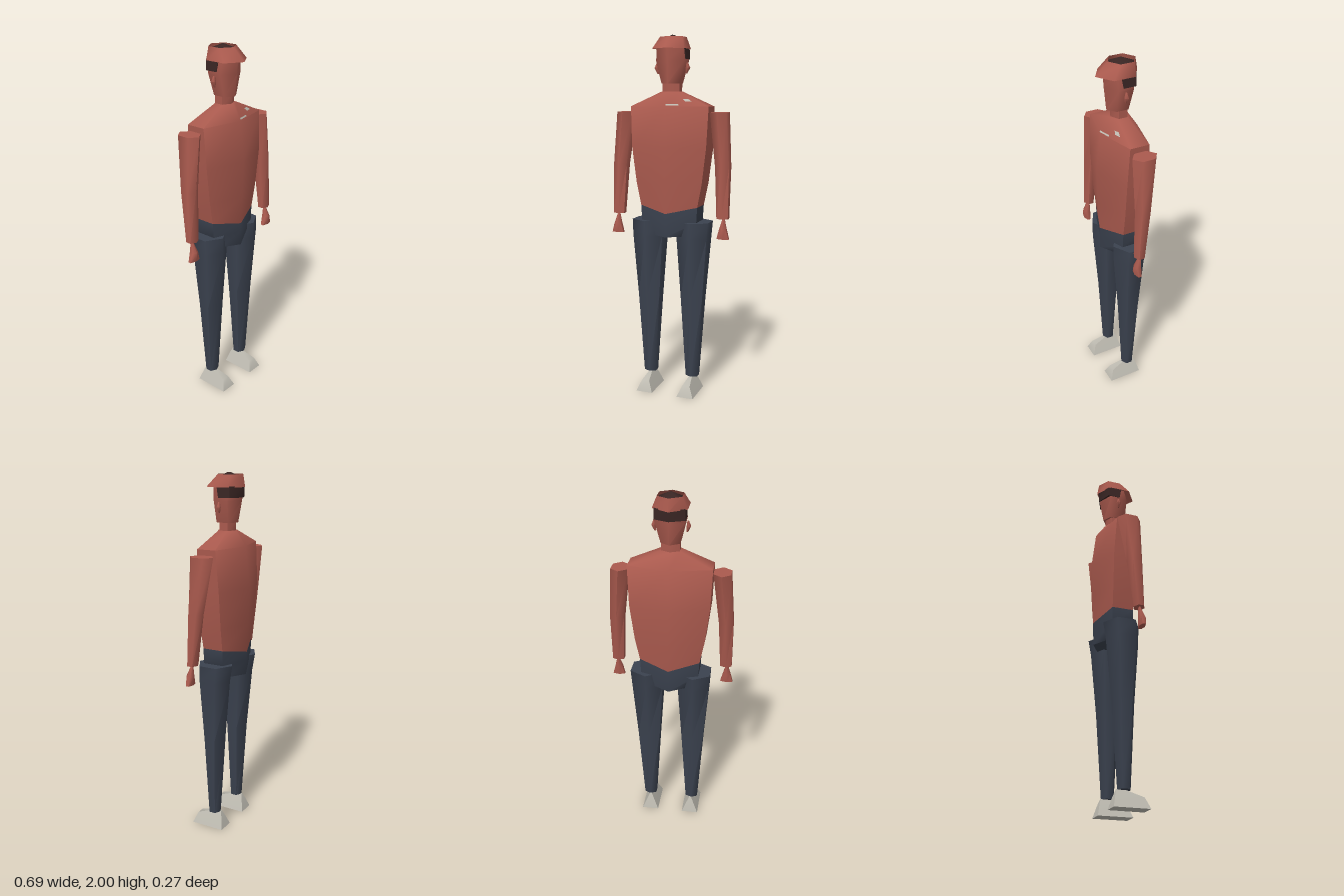
import * as THREE from 'three';
import { toCreasedNormals } from 'three/addons/utils/BufferGeometryUtils.js';

const material = (name, color, side = THREE.FrontSide) => {
  const m = new THREE.MeshStandardMaterial({ color, side });
  m.name = name;
  return m;
};

// Six-sided ring with a point at front and back: [y, centre x, half width, front z, back z, dip of the points]
function ring([y, cx, w, zf, zb, dip = 0]) {
  const c = (zf + zb) / 2, h = (zf - zb) / 4;
  return [
    [cx, y - dip, zf], [cx + w, y, c + h], [cx + w, y, c - h],
    [cx, y - dip, zb], [cx - w, y, c - h], [cx - w, y, c + h],
  ];
}

// Skin rings of equal size, listed from bottom to top
function skin(rings, capped = true) {
  const n = rings[0].length, last = (rings.length - 1) * n, index = [];
  for (let r = 0; r < rings.length - 1; r++) {
    for (let i = 0; i < n; i++) {
      const a = r * n + i, b = r * n + (i + 1) % n;
      index.push(a, b, b + n, a, b + n, a + n);
    }
  }
  if (capped) {
    for (let i = 1; i < n - 1; i++) {
      index.push(0, i + 1, i, last, last + i, last + i + 1);
    }
  }
  const geo = new THREE.BufferGeometry();
  geo.setAttribute('position', new THREE.Float32BufferAttribute(rings.flat(2), 3));
  geo.setIndex(index);
  return toCreasedNormals(geo, 1.1);
}

const loft = (sections, capped) => skin(sections.map(ring), capped);

export function createModel() {
  const model = new THREE.Group();
  model.name = 'standingFigure';
  const red = material('red', 0xaa5a4e);
  const capRed = red.clone();
  capRed.side = THREE.DoubleSide;
  const navy = material('navy', 0x3b424f);
  const pale = material('paleGrey', 0xbdbab0);
  const hair = material('darkBrown', 0x3a2624);
  const add = (name, geo, mat) => {
    const mesh = new THREE.Mesh(geo, mat);
    mesh.name = name;
    model.add(mesh);
    return mesh;
  };

  // Shirt and pelvis share the slanted hem
  const hem = [1.075, 0, 0.165, 0.115, -0.122, 0.035];
  const shoulder = [1.62, 0, 0.224, 0.105, -0.11];
  const collar = [1.7, 0, 0.05, 0.055, -0.055];
  add('shirt', loft([
    hem, [1.2, 0, 0.19, 0.122, -0.13], [1.4, 0, 0.215, 0.128, -0.137], shoulder, collar,
  ]), red);
  add('pelvis', loft([
    [0.91, 0, 0.1, 0.115, -0.118], [0.99, 0, 0.16, 0.115, -0.12], hem,
  ]), navy);

  // Thin plates laid on the front left slope of the chest
  const [c0, c1] = ring(shoulder).map((p) => new THREE.Vector3(...p));
  const [n0, n1] = ring(collar).map((p) => new THREE.Vector3(...p));
  const onChest = (u, v) => {
    const p = c0.clone().lerp(c1, u).lerp(n0.clone().lerp(n1, u), v);
    return [p.x, p.y + 0.004, p.z + 0.004];
  };
  const plate = (name, u0, u1, v0, v1) => {
    const corners = [onChest(u0, v0), onChest(u1, v0), onChest(u1, v1), onChest(u0, v1)];
    const geo = new THREE.BufferGeometry();
    geo.setAttribute('position', new THREE.Float32BufferAttribute(corners.flat(), 3));
    geo.setIndex([0, 1, 2, 0, 2, 3]);
    geo.computeVertexNormals();
    add(name, geo, pale);
  };
  plate('chestStripe', 0.0, 0.32, 0.04, 0.13);
  plate('chestPatch', 0.56, 0.76, 0.28, 0.46);

  // Neck, head and hair
  add('neck', loft([[1.685, 0, 0.048, 0.045, -0.05], [1.75, 0, 0.048, 0.045, -0.05]]), red);
  add('head', loft([
    [1.742, 0, 0.05, 0.068, -0.065], [1.86, 0, 0.079, 0.08, -0.088], [1.93, 0, 0.075, 0.085, -0.092],
  ]), red);
  add('backHair', loft([
    [1.872, 0, 0.081, 0.045, -0.093], [1.93, 0, 0.079, 0.06, -0.098],
  ]), hair);
  add('crown', loft([
    [1.93, 0, 0.068, 0.075, -0.09], [1.972, 0, 0.062, 0.056, -0.088], [2.0, 0, 0.005, 0.0, -0.02],
  ]), hair);

  // Open-topped cap with a pointed peak
  add('cap', loft([
    [1.925, 0, 0.09, 0.126, -0.106], [1.99, 0, 0.063, 0.057, -0.094],
  ], false), capRed);

  for (const [side, s] of [['left', 1], ['right', -1]]) {
    add(side + 'Ear', loft([
      [1.795, s * 0.082, 0.004, 0.006, -0.002],
      [1.825, s * 0.09, 0.011, 0.014, -0.012],
      [1.852, s * 0.086, 0.004, 0.006, -0.004],
    ]), red);
    add(side + 'Arm', loft([
      [1.02, s * 0.305, 0.032, 0.066, 0.006],
      [1.3, s * 0.298, 0.039, 0.062, -0.03],
      [1.59, s * 0.27, 0.046, 0.065, -0.072],
    ]), red);
    add(side + 'Hand', loft([
      [0.91, s * 0.31, 0.034, 0.066, 0.032],
      [0.96, s * 0.31, 0.02, 0.072, 0.026],
      [1.022, s * 0.31, 0.005, 0.042, 0.03],
    ]), red);
    add(side + 'Leg', loft([
      [0.092, s * 0.127, 0.035, 0.045, -0.026],
      [0.55, s * 0.128, 0.063, 0.07, -0.057],
      [0.9, s * 0.13, 0.087, 0.097, -0.09],
      [0.99, s * 0.132, 0.09, 0.098, -0.105],
    ]), navy);

    // Wedge shoe: wide sole, narrow instep
    const rect = (y, w, zf, zb) => [
      [s * 0.123 - w, y, zf], [s * 0.123 + w, y, zf], [s * 0.123 + w, y, zb], [s * 0.123 - w, y, zb],
    ];
    add(side + 'Shoe', skin([
      rect(0, 0.048, 0.136, -0.058), rect(0.06, 0.022, 0.112, -0.042), rect(0.094, 0.006, 0.015, -0.03),
    ]), pale);
  }
  return model;
}
